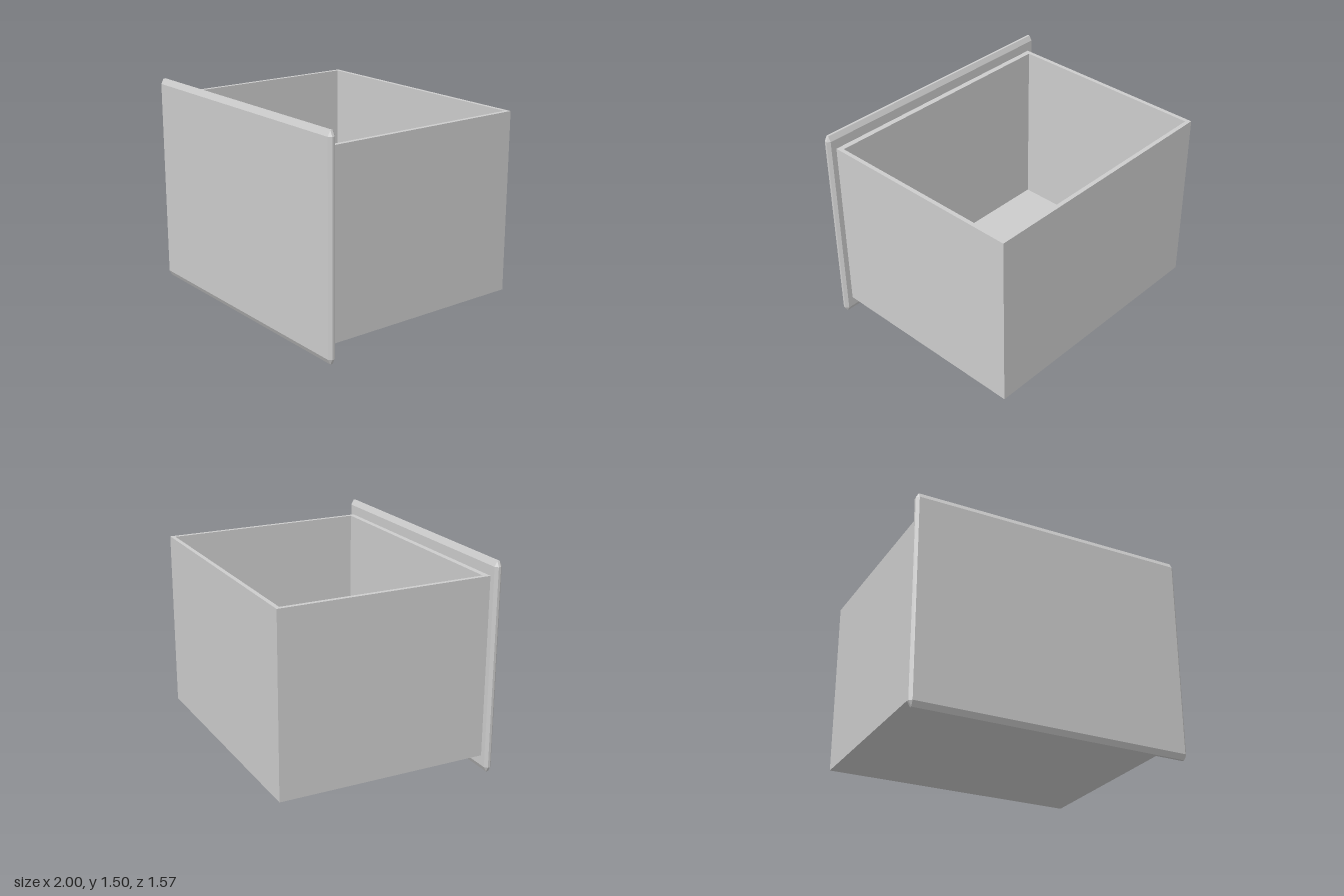
import * as THREE from 'three';
import { ConvexGeometry } from 'three/addons/geometries/ConvexGeometry.js';

// Box with every edge and corner chamfered; cx, cy, cz are the insets per axis
function chamferedBox(w, h, d, cx, cy, cz) {
  const x = w / 2, y = h / 2, z = d / 2;
  const points = [];
  for (const sx of [-1, 1]) for (const sy of [-1, 1]) for (const sz of [-1, 1]) {
    points.push(
      new THREE.Vector3(sx * x, sy * (y - cy), sz * (z - cz)),
      new THREE.Vector3(sx * (x - cx), sy * y, sz * (z - cz)),
      new THREE.Vector3(sx * (x - cx), sy * (y - cy), sz * z)
    );
  }
  return new ConvexGeometry(points);
}

// Closed rectangle as a list of points (y in the shape becomes -z)
const rectangle = (x, back, front) => [
  new THREE.Vector2(-x, -front), new THREE.Vector2(x, -front),
  new THREE.Vector2(x, -back), new THREE.Vector2(-x, -back)
];

export function createModel() {
  const model = new THREE.Group();
  model.name = 'drawer';
  const grey = new THREE.MeshStandardMaterial({ color: 0xcccccc });
  grey.name = 'light grey';

  const add = (name, geometry, x, y, z) => {
    const mesh = new THREE.Mesh(geometry, grey);
    mesh.name = name;
    mesh.position.set(x, y, z);
    model.add(mesh);
  };

  const bottom = 0.11, top = 1.39, floor = 0.03;

  // Four walls, open at the top
  const outline = new THREE.Shape(rectangle(0.94, -0.785, 0.73));
  outline.holes.push(new THREE.Path(rectangle(0.91, -0.755, 0.69).reverse()));
  const walls = new THREE.ExtrudeGeometry(outline, { depth: top - bottom, bevelEnabled: false });
  walls.rotateX(-Math.PI / 2);
  add('drawerWalls', walls, 0, bottom, 0);

  // Floor fitted between the walls
  add('drawerFloor', new THREE.BoxGeometry(1.82, floor, 1.445), 0, bottom + floor / 2, -0.0325);

  // Overhanging front panel with chamfered edges
  add('frontPanel', chamferedBox(2, 1.497, 0.055, 0.02, 0.037, 0.019), 0, 0.7485, 0.7575);

  return model;
}
